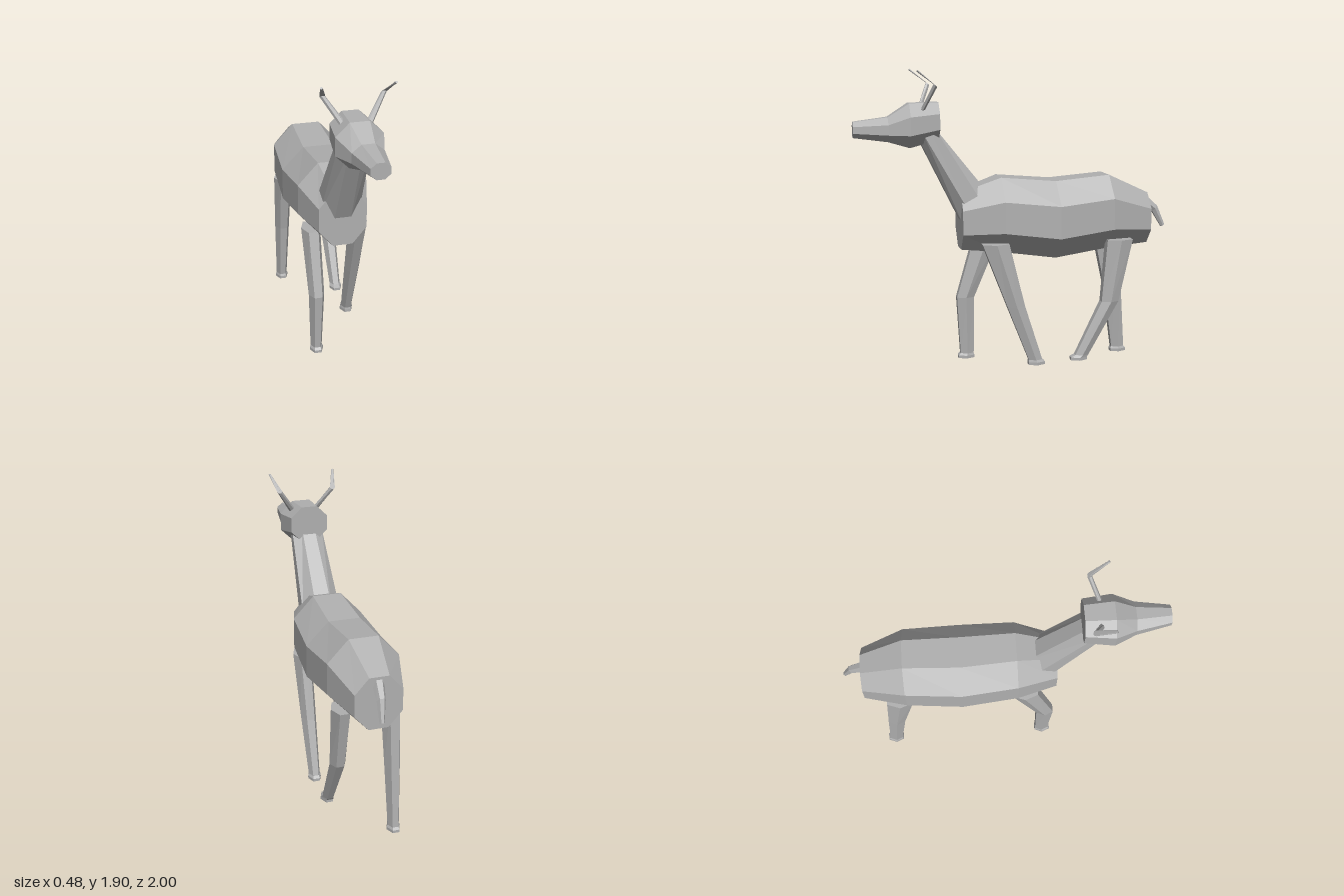
import * as THREE from 'three';

// Skins a chain of rings and caps both ends.
// Ring: [centre x, y, z, half width in x, second axis y, second axis z]
function loft(rings, sides, phase, kx, kv) {
  const loops = rings.map(([x, y, z, rx, vy, vz]) => {
    const loop = [];
    for (let i = 0; i < sides; i++) {
      const a = ((i + phase) / sides) * Math.PI * 2;
      const c = Math.cos(a) * kx, s = Math.sin(a) * kv;
      loop.push([x + rx * c, y + vy * s, z + vz * s]);
    }
    return loop;
  });
  const pos = [];
  const tri = (a, b, c) => pos.push(...a, ...b, ...c);
  for (let k = 0; k < loops.length - 1; k++) {
    const p = loops[k], q = loops[k + 1];
    for (let i = 0; i < sides; i++) {
      const j = (i + 1) % sides;
      tri(p[i], p[j], q[j]);
      tri(p[i], q[j], q[i]);
    }
  }
  const first = loops[0], last = loops[loops.length - 1];
  for (let i = 1; i < sides - 1; i++) {
    tri(first[0], first[i + 1], first[i]);
    tri(last[0], last[i], last[i + 1]);
  }
  const geo = new THREE.BufferGeometry();
  geo.setAttribute('position', new THREE.Float32BufferAttribute(pos, 3));
  geo.computeVertexNormals(); // unshared corners give flat facets
  return geo;
}

// Octagon with flat top and sides; hexagon with flat front and back
const K8 = 1 / Math.cos(Math.PI / 8);
const octLoft = (rings) => loft(rings, 8, 0.5, K8, K8);
const hexLoft = (rings) => loft(rings, 6, 0, 1, 1 / Math.sin(Math.PI / 3));

export function createModel() {
  const group = new THREE.Group();
  const grey = new THREE.MeshStandardMaterial({ color: 0xb0b0b0 });
  grey.name = 'plain grey';
  const add = (name, geo) => {
    const mesh = new THREE.Mesh(geo, grey);
    mesh.name = name;
    group.add(mesh);
  };

  // Trunk, from rump to chest
  add('body', octLoft([
    [0, 0.947, -0.87, 0.145, 0.163, 0],
    [0, 1.0, -0.6, 0.22, 0.235, 0],
    [0, 0.96, -0.25, 0.24, 0.245, 0],
    [0, 1.0, 0.1, 0.22, 0.235, 0],
    [0, 0.965, 0.35, 0.15, 0.18, 0],
  ]));

  // Neck, from inside the head down into the chest
  add('neck', octLoft([
    [0, 1.525, 0.56, 0.1, -0.03, 0.05],
    [0, 1.03, 0.25, 0.125, -0.1, 0.08],
  ]));

  // Head, turned very slightly to its left
  add('head', octLoft([
    [0, 1.587, 0.48, 0.12, 0.115, 0],
    [0.005, 1.562, 0.66, 0.14, 0.135, 0],
    [0.015, 1.54, 0.79, 0.093, 0.075, 0],
    [0.021, 1.541, 1.0, 0.057, 0.048, 0],
  ]));

  // Bent antlers
  for (const [name, s] of [['leftAntler', 1], ['rightAntler', -1]]) {
    add(name, hexLoft([
      [0.008 + s * 0.07, 1.65, 0.585, 0.024, 0, -0.012],
      [0.008 + s * 0.177, 1.808, 0.516, 0.017, -0.008, -0.01],
      [0.008 + s * 0.212, 1.896, 0.628, 0.008, 0.005, -0.003],
    ]));
  }

  // Tail, drooping behind the rump
  add('tail', hexLoft([
    [0, 1.065, -0.85, 0.037, -0.035, 0.012],
    [0.012, 0.998, -0.935, 0.027, -0.018, 0.016],
    [0.025, 0.885, -0.99, 0.015, -0.006, 0.012],
  ]));

  // Legs: side, z of hip, knee, ankle and hoof, then ground height of the hoof
  const legs = [
    ['frontLeftLeg', 1, 0.15, 0.022, -0.105, -0.112, 0.043],
    ['frontRightLeg', -1, 0.15, 0.292, 0.283, 0.288, 0.02],
    ['backLeftLeg', 1, -0.652, -0.592, -0.41, -0.39, 0.055],
    ['backRightLeg', -1, -0.652, -0.71, -0.75, -0.753, 0],
  ];
  for (const [name, s, hip, knee, ankle, hoof, y] of legs) {
    add(name, hexLoft([
      [s * 0.153, 0.83, hip, 0.061, 0, 0.083],
      [s * 0.153, 0.43, knee, 0.05, 0, 0.056],
      [s * 0.155, y + 0.032, ankle, 0.037, 0, 0.043],
      [s * 0.155, y + 0.018, hoof, 0.043, 0, 0.052],
      [s * 0.155, y, hoof, 0.043, 0, 0.052],
    ]));
  }

  return group;
}
